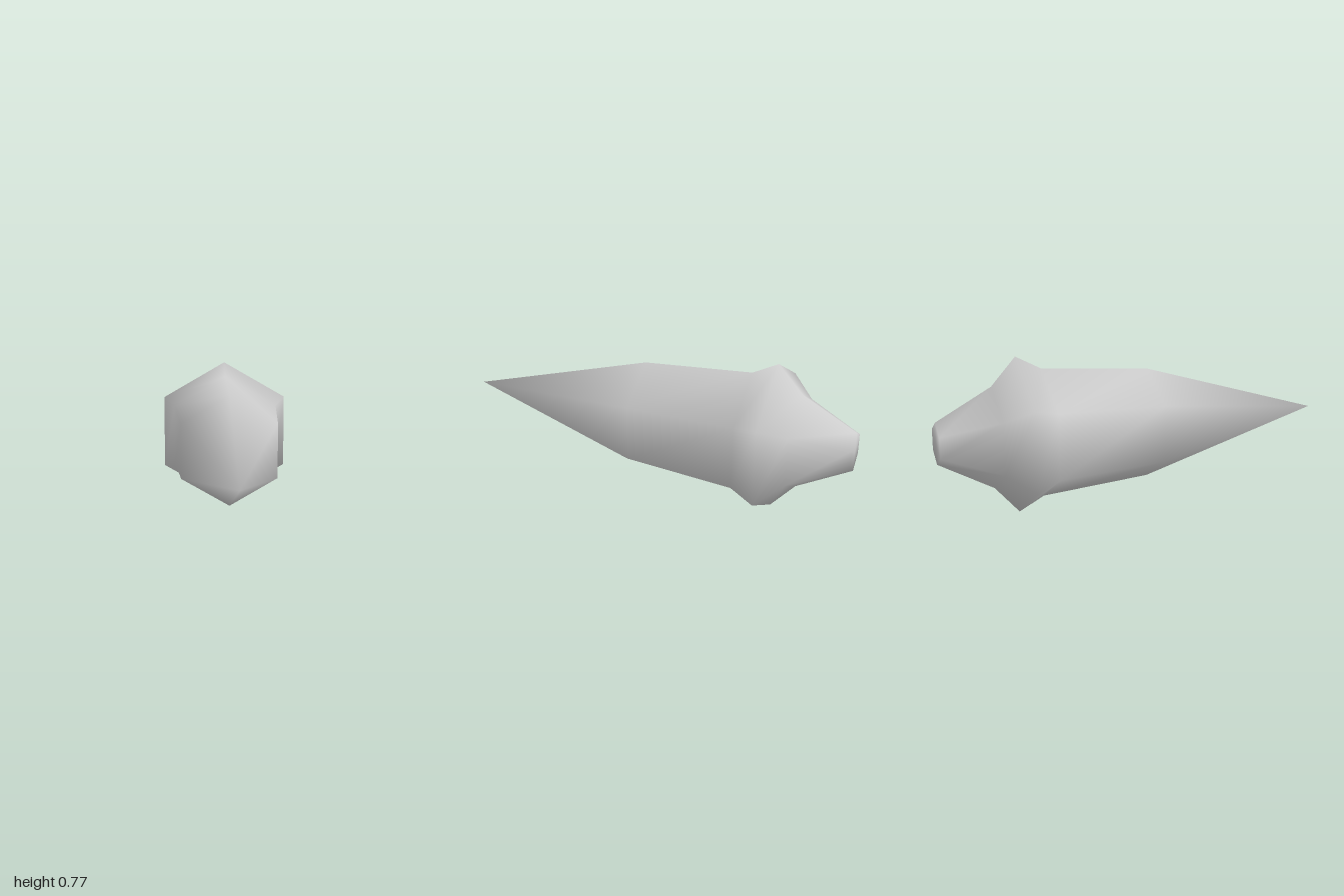
import * as THREE from 'three';
import { mergeVertices } from 'three/addons/utils/BufferGeometryUtils.js';

export function createModel() {
  const group = new THREE.Group();
  const grey = new THREE.MeshStandardMaterial({ color: 0xcccccc });
  grey.name = 'light grey';

  // Profile from the blunt tail to the pointed tip: [radius, z]
  const profile = [
    [0, -1], [0.102, -1], [0.25, -0.73], [0.385, -0.61],
    [0.319, -0.485], [0.277, 0.06], [0, 1],
  ].map(([r, z]) => new THREE.Vector2(r, z));

  // Six-sided spike lying along z, with normals blended across every edge
  const lathe = new THREE.LatheGeometry(profile, 6);
  lathe.deleteAttribute('normal');
  lathe.deleteAttribute('uv');
  const geometry = mergeVertices(lathe, 1e-4);
  geometry.rotateX(Math.PI / 2);
  geometry.translate(0, 0.386, 0);
  geometry.computeVertexNormals();

  const spike = new THREE.Mesh(geometry, grey);
  spike.name = 'collaredSpike';
  group.add(spike);
  return group;
}
